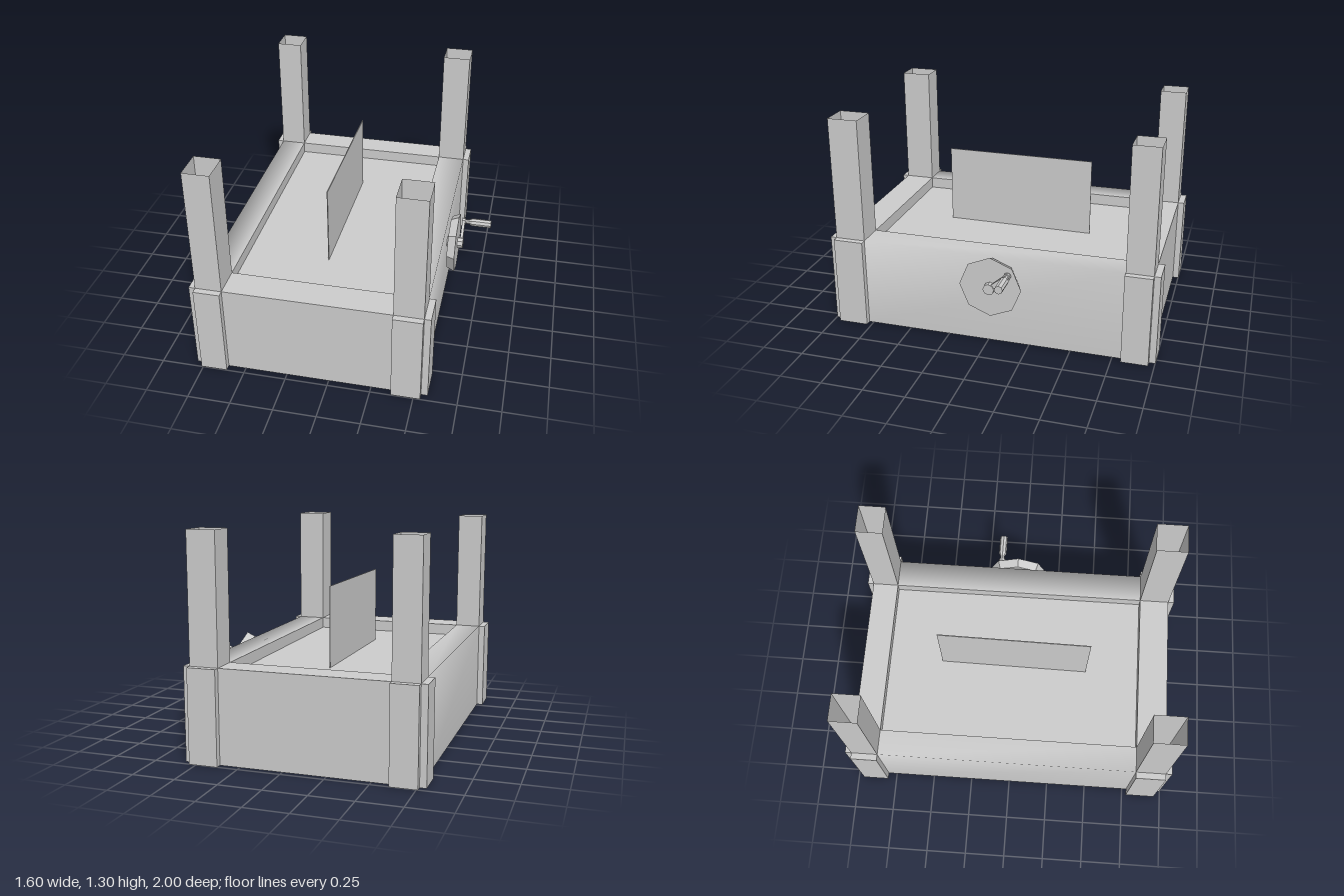
import * as THREE from 'three';

const flat = new THREE.MeshStandardMaterial({ color: 0xcccccc, flatShading: true, side: THREE.DoubleSide });
const smooth = new THREE.MeshStandardMaterial({ color: 0xcccccc, side: THREE.DoubleSide });

// Outer limits of the frame, and the inner edges of its rim
const OUT = { x0: -0.76, x1: 0.54, z0: -0.965, z1: 0.96 };
const IN = { x0: -0.605, x1: 0.37, z0: -0.805, z1: 0.778 };
const RIM = 0.55, BED = 0.48, POST_TOP = 1.3;

export function createModel() {
  const model = new THREE.Group();

  function add(parent, name, geometry, material = flat) {
    const mesh = new THREE.Mesh(geometry, material);
    mesh.name = name;
    parent.add(mesh);
    return mesh;
  }

  // Box given by its limits on each axis
  function box(name, x0, x1, y0, y1, z0, z1) {
    const mesh = add(model, name, new THREE.BoxGeometry(x1 - x0, y1 - y0, z1 - z0));
    mesh.position.set((x0 + x1) / 2, (y0 + y1) / 2, (z0 + z1) / 2);
    return mesh;
  }

  // Open sheet: a profile in x and y swept along z
  function sheet(profile, z0, z1) {
    const positions = [], index = [];
    profile.forEach(([x, y], i) => {
      positions.push(x, y, z0, x, y, z1);
      if (i === 0) return;
      const a = 2 * i - 2;
      index.push(a, a + 2, a + 1, a + 1, a + 2, a + 3);
    });
    const geometry = new THREE.BufferGeometry();
    geometry.setAttribute('position', new THREE.Float32BufferAttribute(positions, 3));
    geometry.setIndex(index);
    geometry.computeVertexNormals();
    return geometry;
  }

  // Apron: outer wall folded into the rim, plus a lip down to the bed
  function apron(name, outer, inner, z0, z1, turn, material) {
    const group = new THREE.Group();
    group.name = name;
    group.rotation.y = turn;
    add(group, name + 'Wall', sheet([[outer, 0], [outer, RIM], [inner, RIM]], z0, z1), material);
    add(group, name + 'Lip', sheet([[inner, RIM], [inner, BED]], z0, z1));
    model.add(group);
  }
  apron('leftApron', OUT.x1, IN.x1, IN.z0, IN.z1, 0, smooth);
  apron('rightApron', -OUT.x0, -IN.x0, -IN.z1, -IN.z0, Math.PI, smooth);
  apron('frontApron', OUT.z1, IN.z1, -IN.x1, -IN.x0, -Math.PI / 2, flat);
  apron('backApron', -OUT.z0, -IN.z0, IN.x0, IN.x1, Math.PI / 2, flat);

  // Sunken bed and the thin upright divider passing through it
  box('bed', IN.x0, IN.x1, BED - 0.006, BED, IN.z0, IN.z1);
  const divider = box('divider', -0.113, -0.108, 0.06, 0.957, -0.47, 0.448);
  divider.rotation.y = -0.012;

  // Hollow square posts with two cover plates at every corner
  const tube = new THREE.CylinderGeometry(Math.SQRT1_2, Math.SQRT1_2, 1, 4, 1, true).rotateY(Math.PI / 4);
  const plate = 0.038;
  for (const [sx, xo, xi] of [[-1, OUT.x0, IN.x0], [1, OUT.x1, IN.x1]]) {
    for (const [sz, zo, zi] of [[-1, OUT.z0, IN.z0], [1, OUT.z1, IN.z1]]) {
      const post = add(model, 'post', tube);
      post.scale.set(Math.abs(xo - xi), POST_TOP, Math.abs(zo - zi));
      post.position.set((xo + xi) / 2, POST_TOP / 2, (zo + zi) / 2);
      const xe = xo + sx * plate, ze = zo + sz * plate;
      box('sidePlate', Math.min(xo, xe), Math.max(xo, xe), 0, RIM, Math.min(zo, zi), Math.max(zo, zi));
      box('endPlate', Math.min(xo, xi), Math.max(xo, xi), 0, RIM, Math.min(zo, ze), Math.max(zo, ze));
    }
  }

  // Crank: eight-sided wheel, hub, arm and grip along the x axis
  const crank = new THREE.Group();
  crank.name = 'crank';
  crank.position.set(0, 0.385, -0.032);
  model.add(crank);
  function rod(name, x0, x1, r0, r1, y = 0, z = 0) {
    const geometry = new THREE.CylinderGeometry(r1, r0, x1 - x0, 8).rotateZ(-Math.PI / 2);
    add(crank, name, geometry).position.set((x0 + x1) / 2, y, z);
  }
  const gy = 0.092, gz = -0.11;
  rod('wheel', 0.555, 0.605, 0.165, 0.187);
  rod('hub', 0.535, 0.64, 0.034, 0.034);
  rod('gripPin', 0.617, 0.68, 0.014, 0.014, gy, gz);
  rod('gripNeck', 0.66, 0.68, 0.014, 0.025, gy, gz);
  rod('grip', 0.68, 0.8, 0.025, 0.025, gy, gz);
  rod('armEnd', 0.617, 0.637, 0.022, 0.022, gy, gz);
  const arm = add(crank, 'arm', new THREE.BoxGeometry(0.018, 0.026, Math.hypot(gy, gz)));
  arm.position.set(0.627, gy / 2, gz / 2);
  arm.rotation.x = Math.atan2(gy, -gz);

  return model;
}
